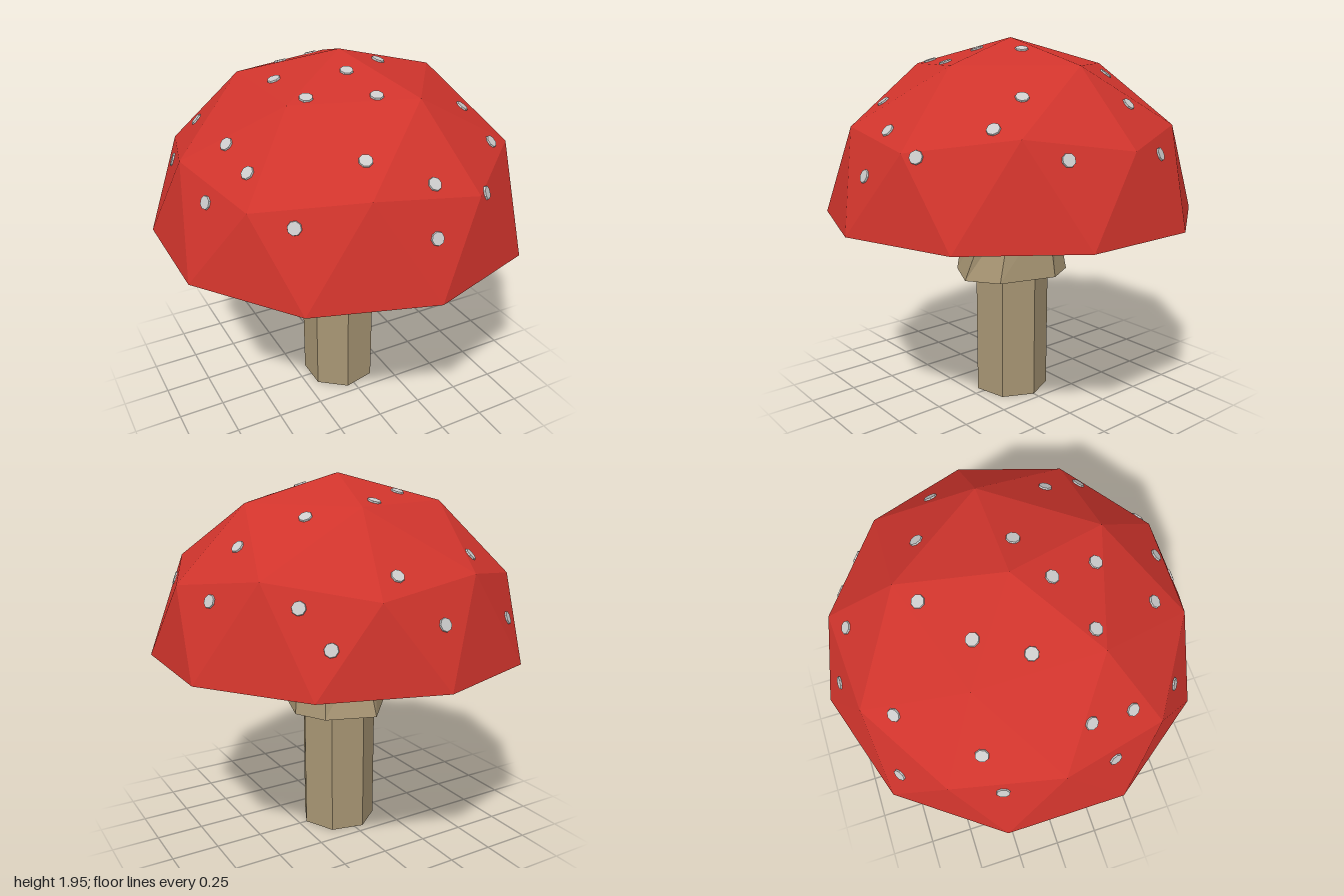
import * as THREE from 'three';

const BASE = 1.03, HEIGHT = 0.92;

const flat = (color, side = THREE.FrontSide) =>
  new THREE.MeshStandardMaterial({ color, flatShading: true, side });

// Unshared triangles from a list of Vector3 corners, for crisp facets
function facets(corners) {
  const g = new THREE.BufferGeometry().setFromPoints(corners);
  g.computeVertexNormals();
  return g;
}

// Upper half of a once-divided icosahedron with a vertex at the pole
function capGeometry() {
  const at = (deg, r, h) => {
    const a = THREE.MathUtils.degToRad(deg);
    return new THREE.Vector3(r * Math.cos(a), BASE + h * HEIGHT, -r * Math.sin(a));
  };
  const pole = at(0, 0, 1);
  const upper = k => at(72 * k, 0.526, 0.851);
  const corner = k => at(72 * k, 0.894, 0.447);
  const middle = k => at(72 * k + 36, 0.851, 0.526);
  const rim = deg => at(deg, 1, 0);
  const tris = [];
  for (let k = 0; k < 5; k++) {
    const a = upper(k), a2 = upper(k + 1), b = corner(k), b2 = corner(k + 1), c = middle(k);
    const d0 = rim(72 * k - 18), d1 = rim(72 * k + 18), d2 = rim(72 * k + 54);
    tris.push(pole, a, a2, a, b, c, a, c, a2, a2, c, b2,
      b, d1, c, c, d1, d2, c, d2, b2, b, d0, d1);
  }
  return facets(tris);
}

// Uneven seven-sided flaring collar, open at both ends
function skirtGeometry() {
  const low = [[0.05, 0.35], [0.21, 0.24], [0.30, -0.065], [0.21, -0.23],
    [-0.05, -0.325], [-0.29, -0.05], [-0.17, 0.245]];
  const high = [[0.13, 0.25], [0.19, 0.15], [0.26, -0.04], [0.17, -0.17],
    [-0.03, -0.21], [-0.24, -0.03], [-0.11, 0.22]];
  const tris = [];
  low.forEach((_, i) => {
    const j = (i + 1) % low.length;
    const p = ([x, z], y) => new THREE.Vector3(x, y, z);
    const a = p(low[i], 0.695), b = p(low[j], 0.695), c = p(high[j], 1.055), d = p(high[i], 1.055);
    tris.push(a, b, c, a, c, d);
  });
  return facets(tris);
}

export function createModel() {
  const model = new THREE.Group();
  const add = (name, geometry, material, parent = model) => {
    const mesh = new THREE.Mesh(geometry, material);
    mesh.name = name;
    parent.add(mesh);
    return mesh;
  };
  const tan = flat(0xa89674), tanOpen = flat(0xa89674, THREE.DoubleSide);

  const cap = add('cap', capGeometry(), flat(0xd0342c, THREE.DoubleSide));

  // Flat underside, set slightly up inside the rim
  const underside = add('capUnderside', new THREE.CircleGeometry(0.99, 10), tanOpen);
  underside.rotation.set(Math.PI / 2, 0, Math.PI / 10);
  underside.position.y = BASE + 0.025;

  // Seven-sided stem with one corner towards +x
  const stem = add('stem', new THREE.CylinderGeometry(0.21, 0.207, 1.055, 7), tan);
  stem.rotation.y = Math.PI / 2;
  stem.position.y = 0.5275;

  add('skirt', skirtGeometry(), tanOpen);

  // Pale spots as [x, z], dropped onto the cap and tilted to its facets
  const spots = [
    [-0.03, -0.89], [-0.55, -0.73], [-0.35, -0.66], [0.15, -0.77], [0.49, -0.78],
    [0.57, -0.64], [0.04, -0.41], [0.37, -0.335], [0.655, -0.20], [0.823, -0.25],
    [-0.65, -0.335], [-0.807, -0.287], [-0.215, -0.235], [-0.348, -0.01], [0.18, 0.075],
    [-0.053, 0.18], [-0.322, 0.293], [-0.67, 0.17], [-0.818, 0.26], [-0.654, 0.383],
    [-0.016, 0.404], [0.512, 0.35], [0.79, 0.32], [0.554, 0.548], [-0.21, 0.65],
    [-0.56, 0.66], [0.063, 0.787], [0.338, 0.81], [0.02, 0.894],
  ];
  const group = new THREE.Group();
  group.name = 'spots';
  model.add(group);
  const spotGeometry = new THREE.CylinderGeometry(0.032, 0.036, 0.016, 8);
  const pale = flat(0xcccccc);
  const up = new THREE.Vector3(0, 1, 0), down = new THREE.Vector3(0, -1, 0);
  for (const [x, z] of spots) {
    const hit = new THREE.Raycaster(new THREE.Vector3(x, 3, z), down).intersectObject(cap)[0];
    if (!hit) continue;
    const spot = add('spot', spotGeometry, pale, group);
    spot.position.copy(hit.point);
    spot.quaternion.setFromUnitVectors(up, hit.face.normal);
  }
  return model;
}
